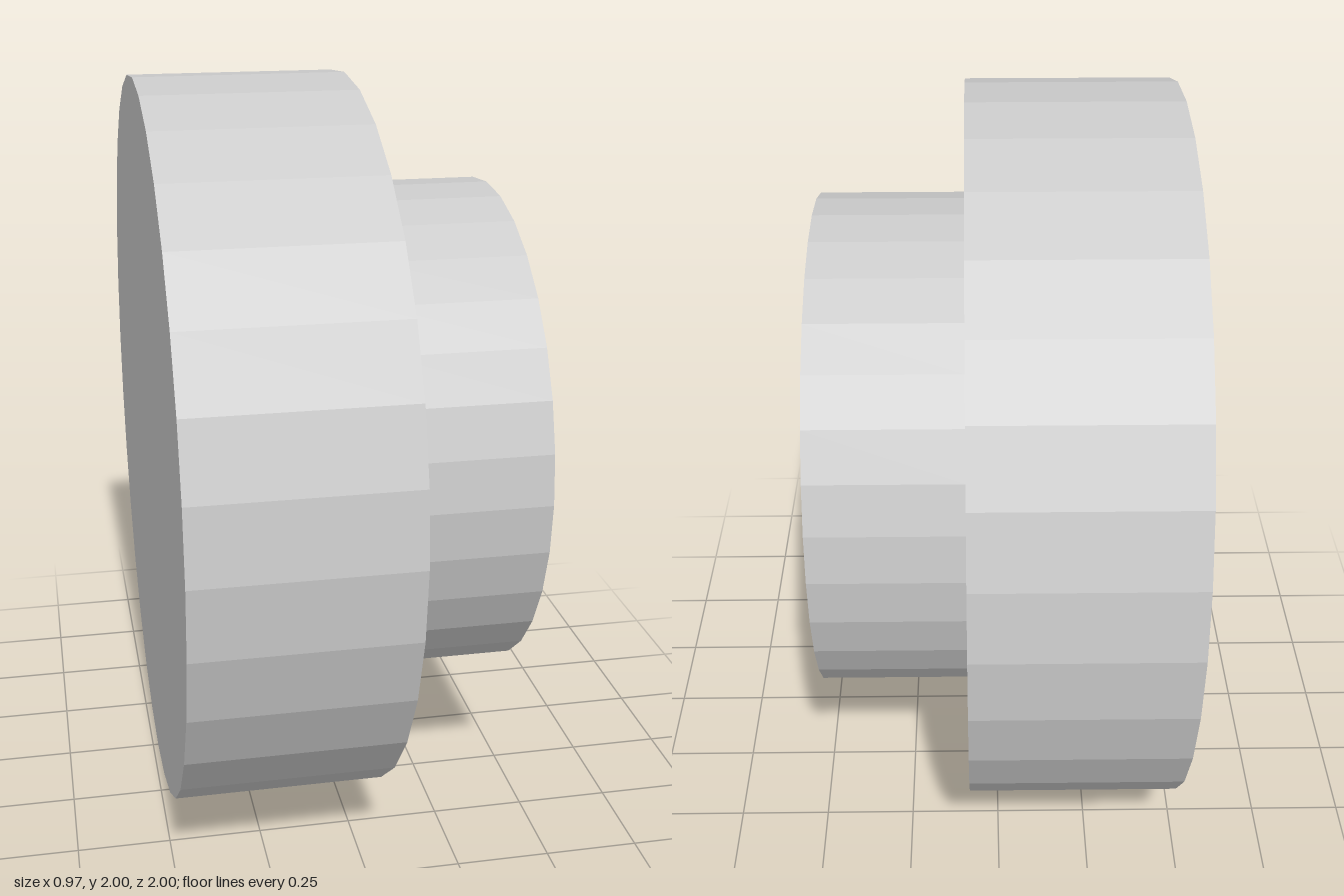
import * as THREE from 'three';

const SIDES = 32;

export function createModel() {
  const group = new THREE.Group();
  const material = new THREE.MeshStandardMaterial({ color: 0xcccccc, flatShading: true });

  // Disc lying along x, between x0 and x1, centred at y = 1
  const addDisc = (name, radius, x0, x1) => {
    const geometry = new THREE.CylinderGeometry(radius, radius, x1 - x0, SIDES);
    geometry.rotateZ(-Math.PI / 2);
    const mesh = new THREE.Mesh(geometry, material);
    mesh.name = name;
    mesh.position.set((x0 + x1) / 2, 1, 0);
    group.add(mesh);
  };

  addDisc('wheel', 1, -0.485, 0.08);
  addDisc('hub', 0.69, 0.08, 0.485);

  return group;
}
